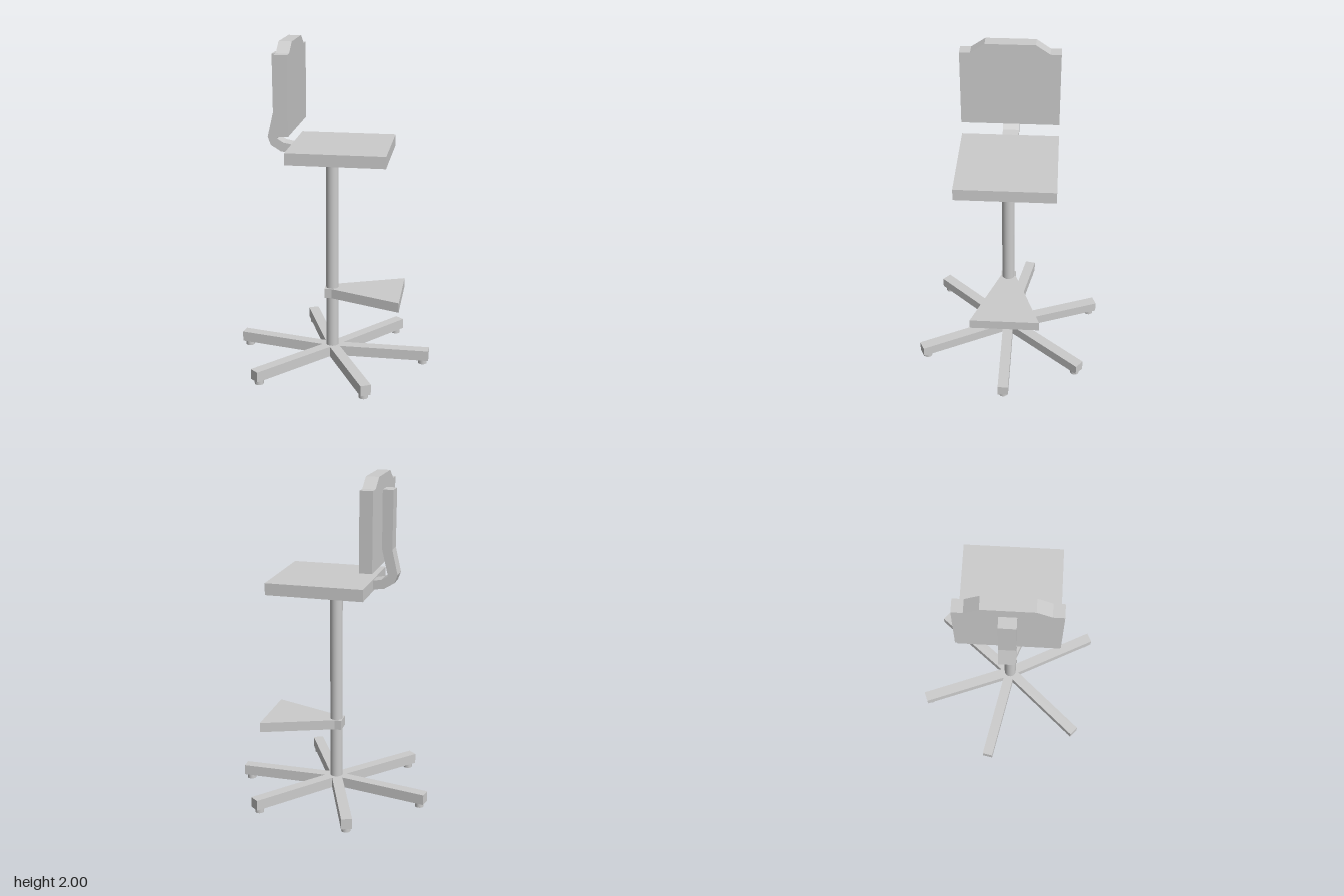
import * as THREE from 'three';

const CX = -0.005, CZ = 0.013; // column axis
const mat = new THREE.MeshStandardMaterial({ color: 0xcccccc });

function add(parent, name, geometry, x = 0, y = 0, z = 0) {
  const mesh = new THREE.Mesh(geometry, mat);
  mesh.name = name;
  mesh.position.set(x, y, z);
  parent.add(mesh);
  return mesh;
}

// Flat outline extruded to a given depth, centred on the depth axis
function slab(points, depth) {
  const shape = new THREE.Shape(points.map(([x, y]) => new THREE.Vector2(x, y)));
  return new THREE.ExtrudeGeometry(shape, { depth, bevelEnabled: false })
    .translate(0, 0, -depth / 2);
}

export function createModel() {
  const model = new THREE.Group();
  model.name = 'highChair';

  // Star base: six unevenly turned legs, each with a round foot
  const base = new THREE.Group();
  base.name = 'base';
  base.position.set(CX, 0, CZ);
  model.add(base);
  for (const angle of [0, 50.6, 110.8, 168.4, 228.4, 297.1]) {
    const leg = new THREE.Group();
    leg.name = 'leg';
    leg.rotation.y = THREE.MathUtils.degToRad(angle);
    add(leg, 'legBar', new THREE.BoxGeometry(0.605, 0.064, 0.064), 0.3025, 0.06, 0);
    add(leg, 'foot', new THREE.CylinderGeometry(0.027, 0.027, 0.03, 20), 0.568, 0.015, 0);
    base.add(leg);
  }

  // Column
  add(model, 'column', new THREE.CylinderGeometry(0.038, 0.038, 1.25, 32), CX, 0.7, CZ);

  // Footrest: square clamp behind the column, widening plate in front
  const footrest = slab([
    [-0.043, -0.045], [0, -0.045], [0.43, -0.21],
    [0.43, 0.21], [0, 0.045], [-0.043, 0.045],
  ], 0.06).rotateX(Math.PI / 2);
  add(model, 'footrest', footrest, CX, 0.445, CZ);

  // Seat
  add(model, 'seat', new THREE.BoxGeometry(0.583, 0.071, 0.583), 0.053, 1.35, CZ);

  // Bent arm carrying the backrest
  const arm = slab([
    [-0.23, 1.325], [-0.23, 1.378], [-0.29, 1.389], [-0.328, 1.412], [-0.291, 1.57],
    [-0.289, 1.915], [-0.353, 1.915], [-0.351, 1.57], [-0.385, 1.422], [-0.367, 1.373],
    [-0.307, 1.336],
  ], 0.097);
  add(model, 'backrestArm', arm, 0, 0, CZ);

  // Backrest with chamfered top step
  const back = slab([
    [-0.291, 1.48], [0.291, 1.48], [0.291, 1.943], [0.228, 1.943],
    [0.145, 2], [-0.145, 2], [-0.228, 1.943], [-0.291, 1.943],
  ], 0.076).rotateY(Math.PI / 2);
  add(model, 'backrest', back, -0.252, 0, CZ);

  return model;
}
